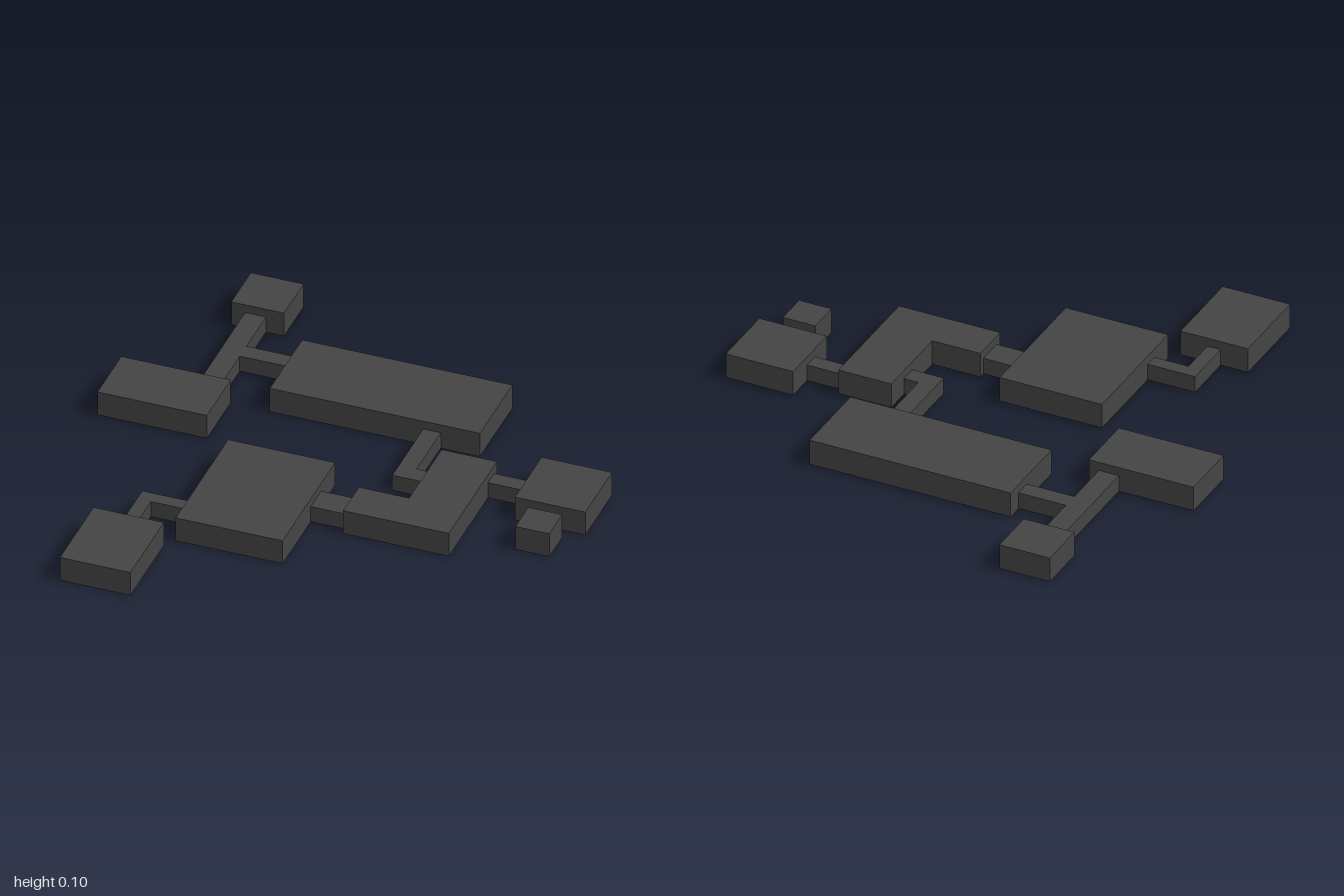
import * as THREE from 'three';

const ROOM_TOP = 0.105, CORRIDOR_TOP = 0.07, FLOOR = 0.002;
const material = new THREE.MeshStandardMaterial({ color: 0x444444, flatShading: true });

export function createModel() {
  const model = new THREE.Group();
  model.name = 'floorComplex';

  // Raise a floor outline of [x, z] points from the floor to a given top
  function raise(name, outline, top) {
    const shape = new THREE.Shape(outline.map(([x, z]) => new THREE.Vector2(x, -z)));
    const geometry = new THREE.ExtrudeGeometry(shape, { depth: top - FLOOR, bevelEnabled: false });
    geometry.rotateX(-Math.PI / 2).translate(0, FLOOR, 0);
    const mesh = new THREE.Mesh(geometry, material);
    mesh.name = name;
    model.add(mesh);
  }

  // Rectangular block between two floor corners
  function block(name, x0, x1, z0, z1, y0, y1) {
    const mesh = new THREE.Mesh(new THREE.BoxGeometry(x1 - x0, y1 - y0, z1 - z0), material);
    mesh.position.set((x0 + x1) / 2, (y0 + y1) / 2, (z0 + z1) / 2);
    mesh.name = name;
    model.add(mesh);
  }

  // Rectangular rooms: x range, z range
  const rooms = {
    backRoom: [-0.735, -0.525, -1, -0.795],
    westRoom: [-0.99, -0.555, -0.315, -0.065],
    longHall: [-0.4, 0.435, -0.655, -0.315],
    eastRoom: [0.705, 0.985, -0.25, 0.03],
    closet: [0.775, 0.91, 0.075, 0.21],
    mainRoom: [-0.425, 0, 0.055, 0.605],
    frontRoom: [-0.735, -0.455, 0.648, 1],
  };
  for (const [name, r] of Object.entries(rooms)) {
    block(name, ...r, name === 'longHall' ? 0 : FLOOR, ROOM_TOP);
  }

  // L-shaped room
  raise('cornerRoom', [
    [0.34, -0.165], [0.56, -0.165], [0.56, 0.34], [0.14, 0.34], [0.14, 0.175], [0.34, 0.175],
  ], ROOM_TOP);

  // Straight corridors
  block('mainCorridor', 0, 0.14, 0.2, 0.31, FLOOR, CORRIDOR_TOP);
  block('eastCorridor', 0.56, 0.705, -0.135, -0.07, FLOOR, CORRIDOR_TOP);
  block('closetCorridor', 0.81, 0.88, 0.03, 0.075, FLOOR, CORRIDOR_TOP);

  // Bent and branching corridors
  raise('branchCorridor', [
    [-0.68, -0.795], [-0.597, -0.795], [-0.597, -0.59], [-0.4, -0.59],
    [-0.4, -0.52], [-0.597, -0.52], [-0.597, -0.315], [-0.68, -0.315],
  ], CORRIDOR_TOP);
  raise('hallCorridor', [
    [0.21, -0.315], [0.28, -0.315], [0.28, -0.06], [0.34, -0.06], [0.34, 0.01], [0.21, 0.01],
  ], CORRIDOR_TOP);
  raise('frontCorridor', [
    [-0.622, 0.435], [-0.425, 0.435], [-0.425, 0.49], [-0.567, 0.49], [-0.567, 0.648], [-0.622, 0.648],
  ], CORRIDOR_TOP);

  // Shallow pads under the floors
  const pad = (x, z) => block('floorPad', x - 0.016, x + 0.016, z - 0.016, z + 0.016, 0, FLOOR);
  for (let i = 0; i < 3; i++) {
    for (let j = 0; j < 4; j++) pad(-0.34 + i * 0.08, 0.21 + j * 0.08);
  }
  pad(0.38, 0.27);
  pad(0.4, 0.13);

  return model;
}
